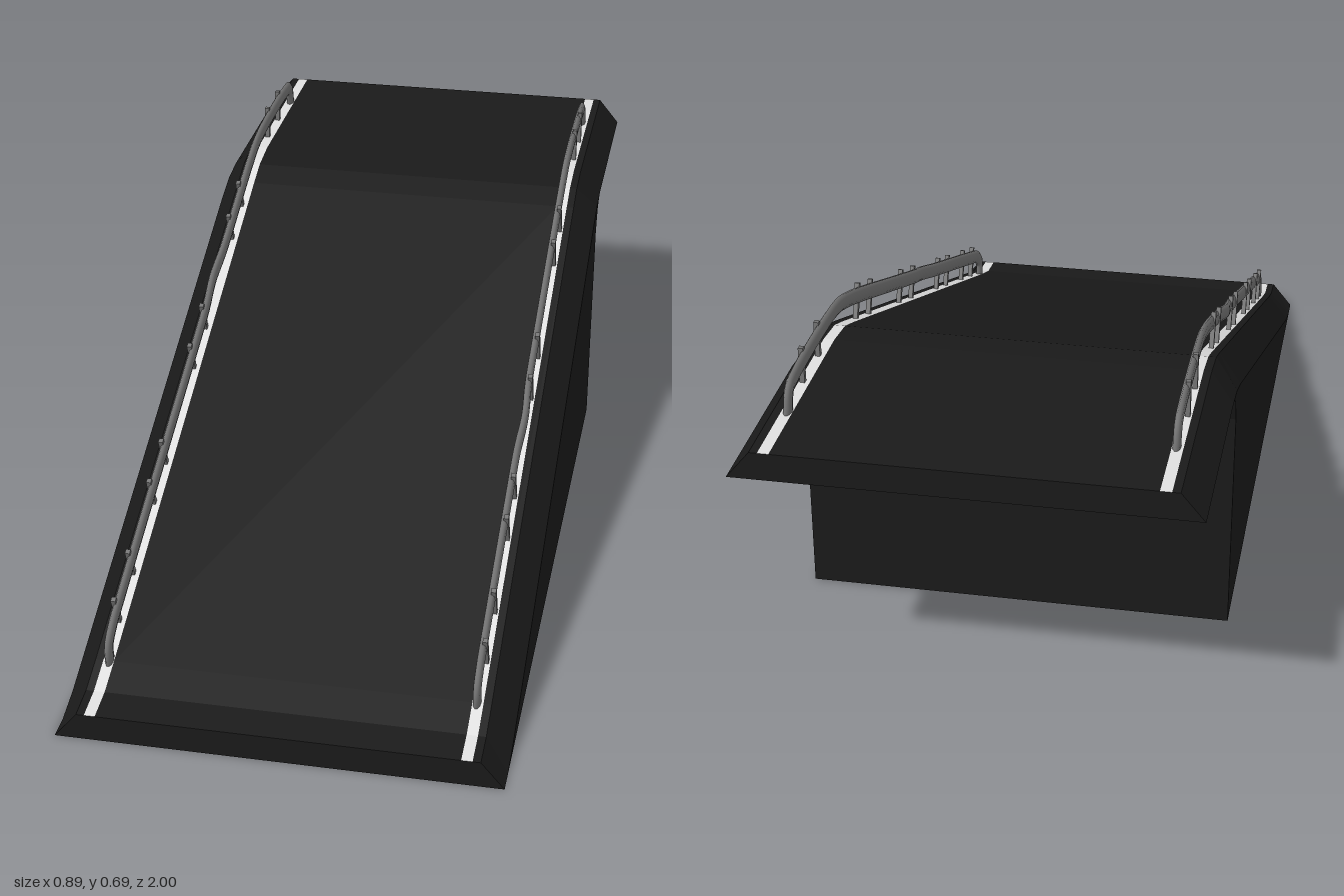
import * as THREE from 'three';

const asphalt = new THREE.MeshStandardMaterial({ color: 0x1a1a1a, side: THREE.DoubleSide });
asphalt.name = 'dark asphalt';
const paint = new THREE.MeshStandardMaterial({ color: 0xe0e0e0, side: THREE.DoubleSide });
paint.name = 'pale line paint';
const steel = new THREE.MeshStandardMaterial({ color: 0x747474 });
steel.name = 'grey steel';

const TOP = 0.4, SIDE = 0.447, RAIL = 0.371;
const LINE_IN = 0.362, LINE_OUT = 0.384;
// Profiles as [z, y]: road surface, lower edge of the bevel, and rear of the base
const road = [[1, 0.057], [0.93, 0.065], [0.86, 0.09], [-0.4, 0.585], [-0.46, 0.607], [-0.54, 0.617], [-1, 0.617]];
const edge = [[1, 0], [0.95, 0], [0.88, 0.018], [-0.42, 0.529], [-0.49, 0.552], [-0.56, 0.56], [-1, 0.56]];
const rear = [[-1, 0.56], [-0.56, 0.56], [-0.537, 0.555], [-0.514, 0.54], [-0.492, 0.487], [-0.492, 0]];

const at = (profile, x) => profile.map(([z, y]) => [x, y, z]);

// Flat-faced ribbon joining two rows of points
function strip(a, b) {
  const p = [];
  for (let i = 0; i < a.length - 1; i++) {
    p.push(...a[i], ...b[i], ...b[i + 1], ...a[i], ...b[i + 1], ...a[i + 1]);
  }
  const g = new THREE.BufferGeometry();
  g.setAttribute('position', new THREE.Float32BufferAttribute(p, 3));
  g.computeVertexNormals();
  return g;
}

function roadY(z) {
  for (let i = 0; i < road.length - 1; i++) {
    const [z0, y0] = road[i], [z1, y1] = road[i + 1];
    if (z <= z0 && z >= z1) return y0 + (y1 - y0) * (z0 - z) / (z0 - z1);
  }
  return 0;
}

function railGeometry(side) {
  const pts = [[0.857, 0.085], [0.86, 0.125], [0.825, 0.155], [0.76, 0.183], [0.4, 0.325], [0, 0.482],
    [-0.3, 0.6], [-0.4, 0.637], [-0.47, 0.658], [-0.55, 0.667], [-0.78, 0.667], [-0.825, 0.658], [-0.842, 0.61]];
  const curve = new THREE.CatmullRomCurve3(pts.map(([z, y]) => new THREE.Vector3(0, y, z)), false, 'centripetal');
  const g = new THREE.TubeGeometry(curve, 120, 0.017, 10);
  g.scale(0.48, 1, 1);
  // Slight dent in the beam
  const p = g.attributes.position;
  const centre = side > 0 ? 0.25 : -0.05;
  for (let i = 0; i < p.count; i++) {
    const d = (p.getZ(i) - centre) / 0.06;
    p.setX(i, p.getX(i) + 0.005 * side * Math.exp(-d * d));
  }
  g.computeVertexNormals();
  return g;
}

export function createModel() {
  const model = new THREE.Group();
  model.name = 'ramp';
  const add = (name, geometry, material, parent = model) => {
    const m = new THREE.Mesh(geometry, material);
    m.name = name;
    parent.add(m);
    return m;
  };
  // Lengthwise piece of the deck between two x positions
  const lane = (name, x0, x1, material) =>
    add(name, strip(at(road, Math.min(x0, x1)), at(road, Math.max(x0, x1))), material);

  // Deck, ends and rear of the hollow base
  lane('roadSurface', -LINE_IN, LINE_IN, asphalt);
  add('rearWallAndOverhang', strip(at(rear, SIDE), at(rear, -SIDE)), asphalt);
  for (const [name, i] of [['frontLip', 0], ['backLip', road.length - 1]]) {
    const [z, y] = road[i], low = edge[i][1];
    add(name, strip([[-SIDE, low, z], [-TOP, y, z]], [[SIDE, low, z], [TOP, y, z]]), asphalt);
  }

  // Side wall outline
  const outline = new THREE.Shape([...edge.slice(1, 6), ...rear.slice(2)].map(([z, y]) => new THREE.Vector2(z, y)));

  for (const s of [1, -1]) {
    const label = s > 0 ? 'left' : 'right';
    add(label + 'Bevel', strip(at(road, s * TOP), at(edge, s * SIDE)), asphalt);
    const wall = new THREE.ShapeGeometry(outline);
    wall.rotateY(-Math.PI / 2);
    wall.translate(s * SIDE, 0, 0);
    add(label + 'Wall', wall, asphalt);

    // Painted edge line set into the deck, with the road margin outside it
    lane(label + 'EdgeLine', s * LINE_IN, s * LINE_OUT, paint);
    lane(label + 'Margin', s * LINE_OUT, s * TOP, asphalt);

    // Guard rail with paired posts square to the road
    const guard = new THREE.Group();
    guard.name = label + 'GuardRail';
    guard.position.x = s * RAIL;
    model.add(guard);
    add('beam', railGeometry(s), steel, guard);
    for (const z of [0.78, 0.67, 0.5, 0.4, 0.15, 0.04, -0.22, -0.32, -0.61, -0.72]) {
      const tilt = z > -0.4 ? Math.atan(0.393) : 0;
      const post = add('post', new THREE.BoxGeometry(0.01, 0.076, 0.011), steel, guard);
      post.rotation.x = tilt;
      const foot = z - 0.028 * Math.sin(tilt);
      post.position.set(s * 0.005, roadY(foot) + 0.037 * Math.cos(tilt), foot + 0.037 * Math.sin(tilt));
    }
  }
  return model;
}
